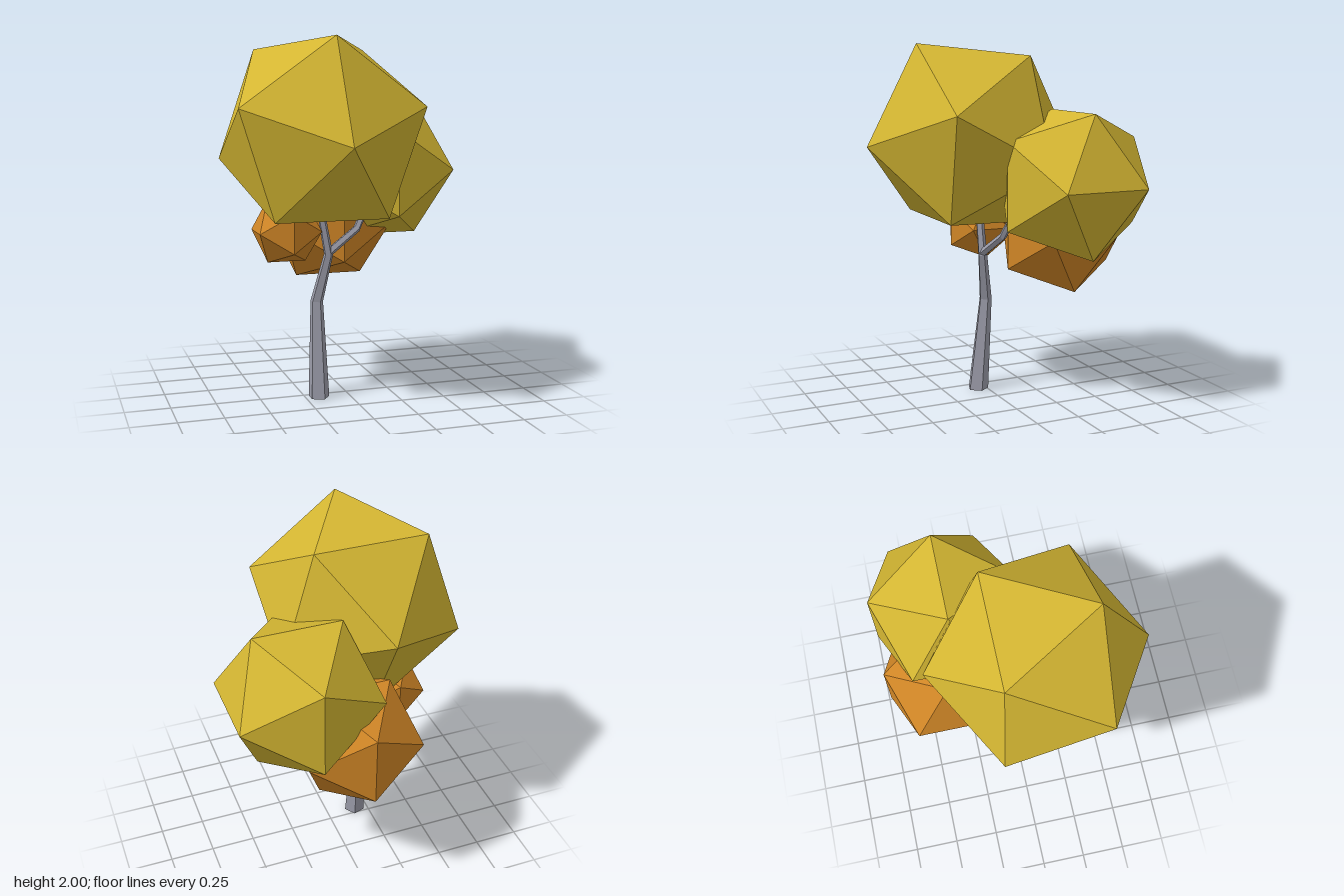
import * as THREE from 'three';

const SIDES = 5;

// Tapered five-sided limb through points [x, y, z, radius], closed at both ends
function limbGeometry(points, startDir) {
  const up = new THREE.Vector3(0, 1, 0);
  const centres = points.map(([x, y, z]) => new THREE.Vector3(x, y, z));
  const last = points.length - 1;
  const rings = centres.map((c, i) => {
    const dir = centres[Math.min(i + 1, last)].clone().sub(centres[Math.max(i - 1, 0)]).normalize();
    if (i === 0 && startDir) dir.copy(startDir);
    const tilt = new THREE.Quaternion().setFromUnitVectors(up, dir);
    return Array.from({ length: SIDES }, (_, k) => {
      const a = (k / SIDES) * Math.PI * 2;
      return new THREE.Vector3(Math.cos(a), 0, -Math.sin(a))
        .multiplyScalar(points[i][3]).applyQuaternion(tilt).add(c);
    });
  });
  const corners = [];
  for (let k = 0; k < SIDES; k++) {
    const n = (k + 1) % SIDES;
    for (let i = 0; i < last; i++) {
      const a = rings[i], b = rings[i + 1];
      corners.push(a[k], a[n], b[n], a[k], b[n], b[k]);
    }
    corners.push(centres[0], rings[0][n], rings[0][k]);
    corners.push(centres[last], rings[last][k], rings[last][n]);
  }
  const geometry = new THREE.BufferGeometry().setFromPoints(corners);
  geometry.computeVertexNormals();
  return geometry;
}

export function createModel() {
  const tree = new THREE.Group();
  tree.name = 'tree';

  const material = (name, color) => {
    const m = new THREE.MeshStandardMaterial({ color, flatShading: true });
    m.name = name;
    return m;
  };
  const bark = material('greyBark', 0x9a9ba8);
  const yellow = material('yellowLeaves', 0xd4b632);
  const orange = material('orangeLeaves', 0xd08626);

  const add = (name, geometry, mat) => {
    const mesh = new THREE.Mesh(geometry, mat);
    mesh.name = name;
    tree.add(mesh);
    return mesh;
  };

  // Bent trunk, running up into the main crown
  add('trunk', limbGeometry([
    [-0.174, 0, 0.048, 0.061],
    [-0.171, 0.54, 0, 0.037],
    [-0.114, 0.81, 0.043, 0.027],
    [-0.148, 1.0, 0.043, 0.023],
    [-0.18, 1.2, 0.045, 0.02],
  ], new THREE.Vector3(0, 1, 0)), bark);

  // Side branch, running up into the second crown
  add('branch', limbGeometry([
    [-0.114, 0.82, 0.043, 0.024],
    [0.065, 0.942, 0, 0.022],
    [0.115, 1.035, -0.025, 0.021],
    [0.2, 1.2, -0.09, 0.018],
  ]), bark);

  // Leaf clumps: name, radius, centre, material, tilt about x
  const clumps = [
    ['mainCrown', 0.595, [-0.175, 1.488, 0.105], yellow, -0.485],
    ['sideCrown', 0.458, [0.29, 1.25, -0.31], yellow, 0],
    ['backClump', 0.378, [0.01, 0.94, -0.38], orange, 0],
    ['smallClump', 0.205, [-0.335, 0.945, -0.03], orange, 0],
  ];
  for (const [name, radius, centre, mat, tilt] of clumps) {
    const clump = add(name, new THREE.IcosahedronGeometry(radius, 0), mat);
    clump.position.set(...centre);
    clump.rotation.x = tilt;
  }
  return tree;
}
